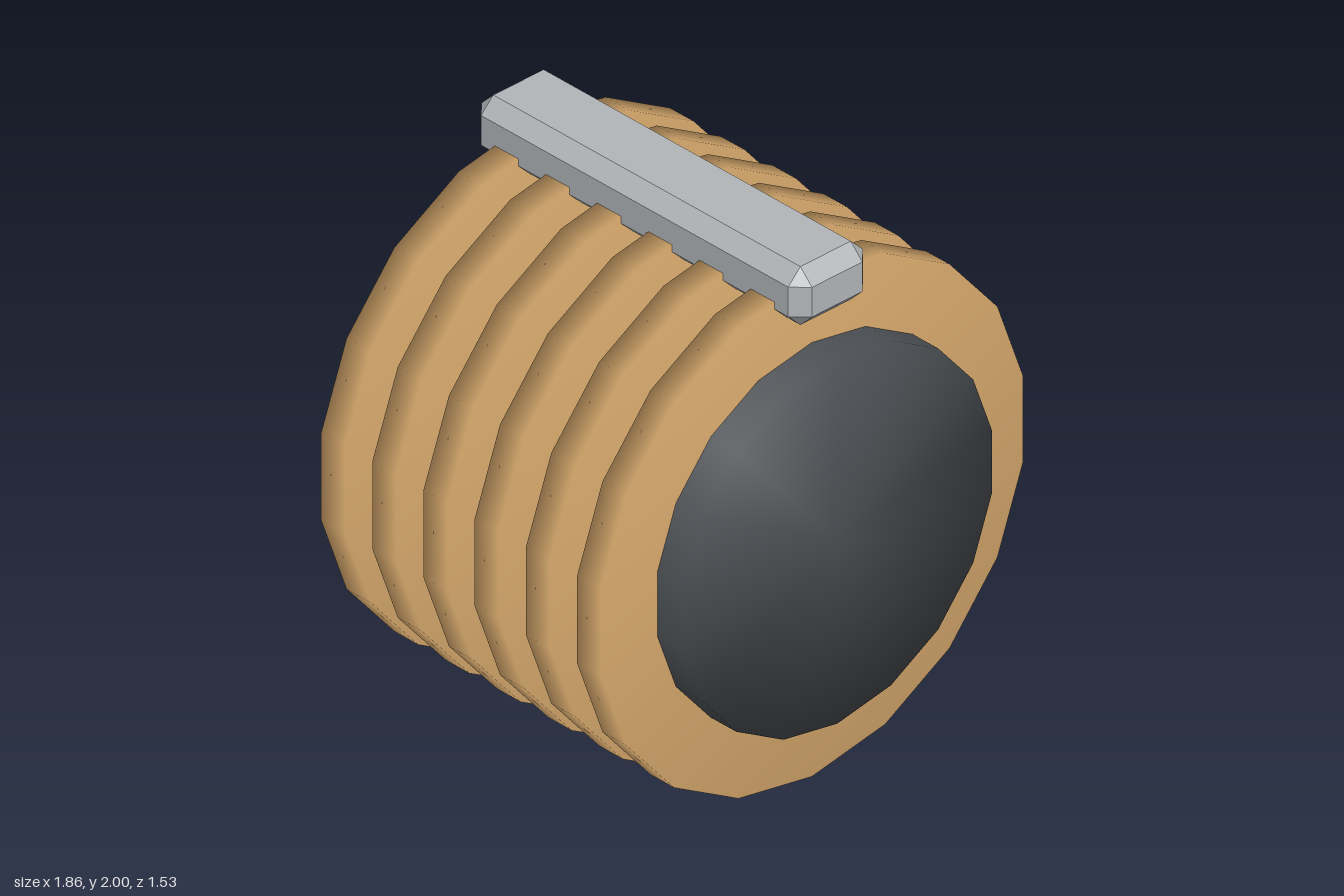
import * as THREE from 'three';
import { mergeVertices } from 'three/addons/utils/BufferGeometryUtils.js';
import { ConvexGeometry } from 'three/addons/geometries/ConvexGeometry.js';

const SIDES = 18;
const AXIS_Y = 0.945;

function material(name, color) {
  const m = new THREE.MeshStandardMaterial({ color });
  m.name = name;
  return m;
}

// Cylinder along z with normals shared between rim and caps, for soft shading
function softDisc(radius, length) {
  const raw = new THREE.CylinderGeometry(radius, radius, length, SIDES).rotateX(Math.PI / 2);
  raw.deleteAttribute('normal');
  raw.deleteAttribute('uv');
  raw.clearGroups();
  const geometry = mergeVertices(raw, 1e-4);
  geometry.computeVertexNormals();
  return geometry;
}

// Box with every edge cut at 45 degrees
function chamferedBox(w, h, d, c) {
  const points = [];
  for (const x of [-w / 2, w / 2])
    for (const y of [-h / 2, h / 2])
      for (const z of [-d / 2, d / 2]) {
        const ix = x - Math.sign(x) * c;
        const iy = y - Math.sign(y) * c;
        const iz = z - Math.sign(z) * c;
        points.push(
          new THREE.Vector3(x, iy, iz),
          new THREE.Vector3(ix, y, iz),
          new THREE.Vector3(ix, iy, z)
        );
      }
  return new ConvexGeometry(points);
}

export function createModel() {
  const model = new THREE.Group();
  model.name = 'ribbedDrum';

  const charcoal = material('charcoal', 0x4a4e52);
  const tan = material('tan', 0xd6a86c);
  const grey = material('lightGrey', 0xb1b5b8);

  const add = (name, geometry, mat, y, z = 0) => {
    const mesh = new THREE.Mesh(geometry, mat);
    mesh.name = name;
    mesh.position.set(0, y, z);
    model.add(mesh);
  };

  // Dark core
  add('core', softDisc(0.692, 1.53), charcoal, AXIS_Y);

  // Six evenly spaced rings around the core
  const ring = softDisc(0.945, 0.11);
  for (let i = 0; i < 6; i++) add(`ring${i + 1}`, ring, tan, AXIS_Y, (i - 2.5) * 0.237);

  // Bar lying across the tops of the rings
  add('topBar', chamferedBox(0.33, 0.22, 1.53, 0.054), grey, 1.89);

  return model;
}
